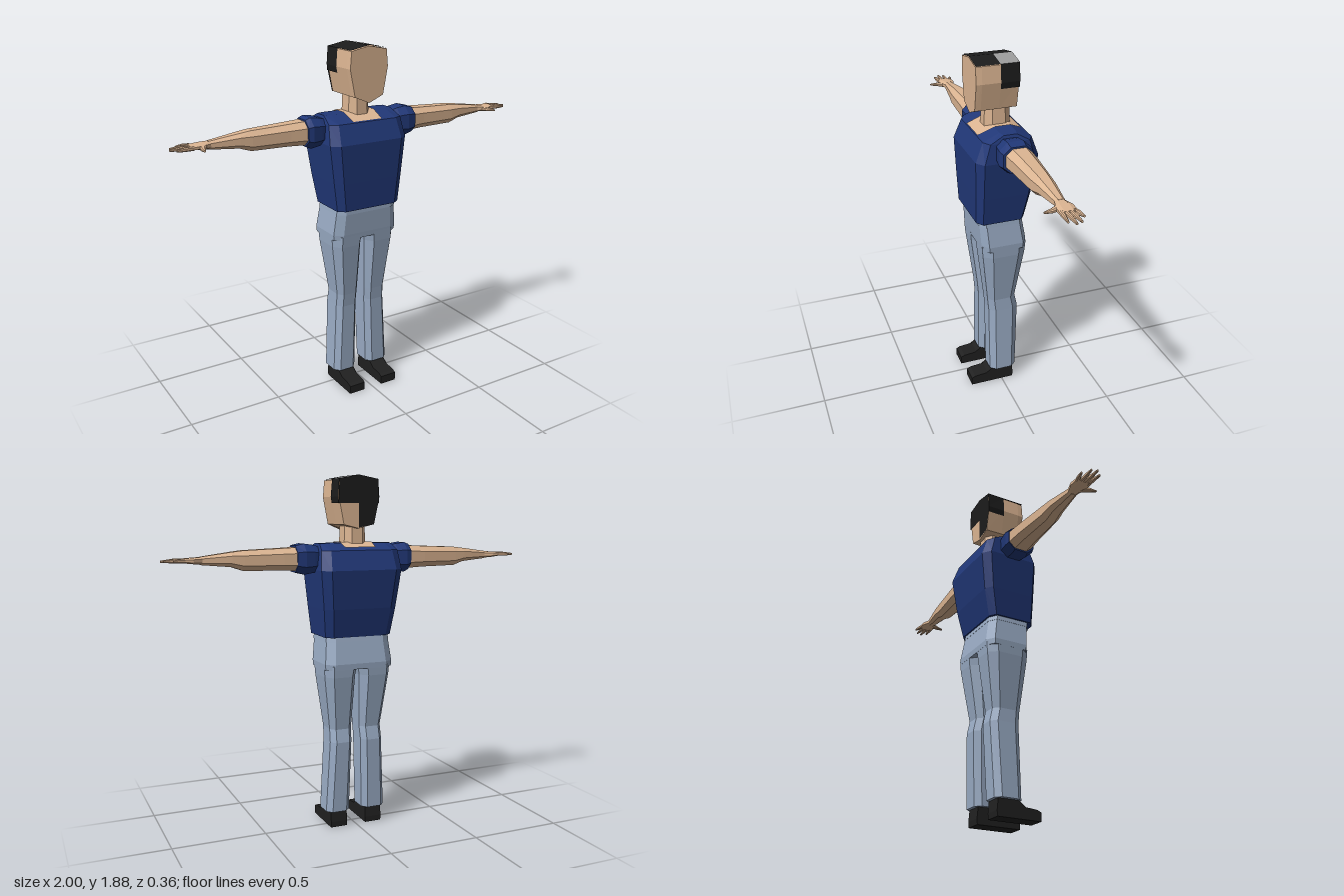
import * as THREE from 'three';

const mat = (name, color, side = THREE.FrontSide) => {
  const m = new THREE.MeshStandardMaterial({ color, side });
  m.name = name;
  return m;
};

// Faceted geometry from triangles; unshared corners give flat normals
function facets(tris) {
  const g = new THREE.BufferGeometry();
  g.setAttribute('position', new THREE.Float32BufferAttribute(tris.flat(2), 3));
  g.computeVertexNormals();
  return g;
}

// Closed solid through a list of cross-sections, turned outward by its signed volume
function loft(rings) {
  const tris = [], n = rings[0].length;
  for (let r = 0; r < rings.length - 1; r++) {
    for (let i = 0; i < n; i++) {
      const j = (i + 1) % n, a = rings[r], b = rings[r + 1];
      tris.push([a[i], a[j], b[j]], [a[i], b[j], b[i]]);
    }
  }
  const first = rings[0], last = rings[rings.length - 1];
  for (let i = 1; i < n - 1; i++) {
    tris.push([first[0], first[i + 1], first[i]], [last[0], last[i], last[i + 1]]);
  }
  const c = new THREE.Vector3(...first[0]);
  const v = p => new THREE.Vector3(...p).sub(c);
  const volume = tris.reduce((s, t) => s + v(t[0]).dot(v(t[1]).cross(v(t[2]))), 0);
  return facets(volume < 0 ? tris.map(t => [t[0], t[2], t[1]]) : tris);
}

const quad = (a, b, c, d) => facets([[a, b, c], [a, c, d]]);

// Chamfered rectangle between two bounds on each axis
function octagon(a0, a1, b0, b1, cut = 0.25) {
  const da = (a1 - a0) * cut, db = (b1 - b0) * cut;
  return [[a0 + da, b0], [a1 - da, b0], [a1, b0 + db], [a1, b1 - db],
    [a1 - da, b1], [a0 + da, b1], [a0, b1 - db], [a0, b0 + db]];
}
// Level section at height y, and upright section at distance x along an arm
const level = (y, x0, x1, z0, z1, cut) => octagon(x0, x1, z0, z1, cut).map(([x, z]) => [x, y, z]);
const upright = (s, x, y0, y1, z0, z1, cut) => octagon(y0, y1, z0, z1, cut).map(([y, z]) => [s * x, y, z]);

export function createModel() {
  const skin = mat('skin', 0xdcb592, THREE.DoubleSide);
  const shirt = mat('navy shirt', 0x213878);
  const denim = mat('pale denim', 0x9aacc5);
  const hair = mat('black hair', 0x1c1c1c, THREE.DoubleSide);
  const grey = mat('grey', 0x9c9c9c, THREE.DoubleSide);
  const black = mat('black leather', 0x202020);

  const model = new THREE.Group();
  model.name = 'person';
  const add = (name, geometry, material) => {
    const m = new THREE.Mesh(geometry, material);
    m.name = name;
    model.add(m);
  };

  // Shirt body
  const body = [
    [1.05, 0.185, -0.115, 0.145], [1.2, 0.203, -0.148, 0.15], [1.4, 0.225, -0.175, 0.155],
    [1.5, 0.213, -0.14, 0.115], [1.535, 0.2, -0.06, 0.025],
  ];
  add('shirtBody', loft(body.map(([y, x, z0, z1]) => level(y, -x, x, z0, z1, 0.1))), shirt);

  // Neck and the bare skin inside the neckline
  add('neck', loft([level(1.49, -0.062, 0.062, -0.08, 0.06), level(1.65, -0.055, 0.055, -0.075, 0.055)]), skin);
  add('necklineFront', quad([-0.085, 1.506, 0.113], [0.085, 1.506, 0.113], [0.09, 1.54, 0.024], [-0.09, 1.54, 0.024]), skin);
  add('necklineTop', quad([-0.09, 1.54, 0.024], [0.09, 1.54, 0.024], [0.09, 1.54, -0.06], [-0.09, 1.54, -0.06]), skin);
  add('necklineBack', quad([-0.09, 1.54, -0.06], [0.09, 1.54, -0.06], [0.085, 1.515, -0.12], [-0.085, 1.515, -0.12]), skin);

  // Head: one outline carried from back to front, slightly tapered at the face
  const outline = [[0, 1.877], [0.105, 1.857], [0.113, 1.77], [0.085, 1.63], [0, 1.595],
    [-0.085, 1.63], [-0.113, 1.77], [-0.105, 1.857]];
  const headRing = (z, k, chin) => outline.map(([x, y]) => [x * k, y < 1.6 ? chin : y, z]);
  add('head', loft([headRing(-0.095, 0.97, 1.61), headRing(0, 1, 1.605),
    headRing(0.095, 1, 1.6), headRing(0.125, 0.97, 1.595)]), skin);

  // Hair plates on the crown, temples and back of the head
  for (const s of [1, -1]) {
    const crown = (z0, z1) => quad([0, 1.881, z0], [0, 1.881, z1], [s * 0.108, 1.861, z1], [s * 0.108, 1.861, z0]);
    add('hairCrownFront', crown(0, 0.125), hair);
    add(s > 0 ? 'crownPatch' : 'hairCrownBack', crown(-0.098, 0), s > 0 ? grey : hair);
    add('hairTempleUpper', quad([s * 0.108, 1.861, 0], [s * 0.108, 1.861, -0.098],
      [s * 0.115, 1.77, -0.098], [s * 0.116, 1.77, 0]), hair);
    add('hairTempleLower', quad([s * 0.116, 1.77, 0], [s * 0.115, 1.77, -0.098],
      [s * 0.109, 1.738, -0.098], [s * 0.11, 1.738, 0]), hair);
    add('hairBack', quad([0, 1.881, -0.098], [s * 0.108, 1.861, -0.098], [s * 0.113, 1.738, -0.098], [0, 1.738, -0.098]), hair);
  }
  add('hairNape', quad([0, 1.738, -0.098], [-0.109, 1.738, -0.098], [-0.085, 1.63, -0.098], [0, 1.615, -0.098]), hair);

  // Hips
  add('waistband', loft([level(1.025, -0.179, 0.179, -0.112, 0.128, 0.12), level(1.06, -0.176, 0.176, -0.106, 0.127, 0.12)]), denim);
  add('hips', loft([level(0.88, -0.188, 0.188, -0.128, 0.113, 0.12), level(0.91, -0.19, 0.19, -0.13, 0.116, 0.12),
    level(1.03, -0.177, 0.177, -0.11, 0.124, 0.12)]), denim);

  const legSections = [
    [0.09, 0.037, 0.17, -0.08, 0.07], [0.48, 0.027, 0.15, -0.095, 0.07], [0.55, 0.024, 0.148, -0.08, 0.076],
    [0.84, 0.012, 0.185, -0.124, 0.11], [0.9, 0.001, 0.189, -0.129, 0.115],
  ];
  const armSections = [
    [0.26, 1.395, 1.52, -0.085, 0.06], [0.4, 1.402, 1.513, -0.078, 0.048], [0.6, 1.405, 1.505, -0.062, 0.036],
    [0.66, 1.425, 1.498, -0.056, 0.03], [0.81, 1.438, 1.478, -0.036, 0.011],
  ];
  const palmSections = [
    [0.8, 1.44, 1.477, -0.036, 0.011], [0.85, 1.444, 1.474, -0.055, 0.028], [0.905, 1.45, 1.47, -0.052, 0.03],
  ];
  // Fingers: base x and z, tip x and z
  const fingers = [[0.89, -0.043, 0.95, -0.06], [0.89, -0.022, 0.99, -0.031],
    [0.89, 0, 1, -0.003], [0.89, 0.02, 0.975, 0.026]];
  const shoeProfile = [[0.18, 0], [0.18, 0.045], [0.16, 0.055], [0.085, 0.062], [0.04, 0.1], [-0.06, 0.1], [-0.067, 0.03], [-0.065, 0]];

  for (const s of [1, -1]) {
    const side = s > 0 ? 'left' : 'right';

    // Sleeve, a little longer on one side
    const cuff = s > 0 ? 0.33 : 0.312;
    add(side + 'Sleeve', loft([upright(s, 0.19, 1.4, 1.515, -0.075, 0.055), upright(s, 0.235, 1.385, 1.528, -0.085, 0.065),
      upright(s, 0.285, 1.378, 1.535, -0.092, 0.072), upright(s, cuff, 1.39, 1.525, -0.086, 0.066)]), shirt);

    // Arm, palm and digits
    add(side + 'Arm', loft(armSections.map(a => upright(s, ...a))), skin);
    add(side + 'Palm', loft(palmSections.map(a => upright(s, ...a))), skin);
    for (const [x0, z0, x1, z1] of fingers) {
      const mid = upright(s, (x0 + x1) / 2, 1.45, 1.47, (z0 + z1) / 2 - 0.009, (z0 + z1) / 2 + 0.009);
      add(side + 'Finger', loft([upright(s, x0, 1.45, 1.47, z0 - 0.01, z0 + 0.01), mid,
        upright(s, x1, 1.453, 1.463, z1 - 0.005, z1 + 0.005)]), skin);
    }
    const thumbRing = (x, z, r) => octagon(x - r, x + r, 1.456 - r * 0.7, 1.456 + r * 0.7).map(([a, y]) => [s * a, y, z]);
    add(side + 'Thumb', loft([thumbRing(0.838, 0.005, 0.019), thumbRing(0.856, 0.045, 0.013), thumbRing(0.863, 0.085, 0.006)]), skin);

    // Trouser leg
    add(side + 'Leg', loft(legSections.map(([y, x0, x1, z0, z1]) =>
      level(y, ...(s > 0 ? [x0, x1] : [-x1, -x0]), z0, z1, 0.2))), denim);

    // Shoe
    add(side + 'Shoe', loft([0.055, 0.148].map(x => shoeProfile.map(([z, y]) => [s * x, y, z]))), black);
  }
  return model;
}
